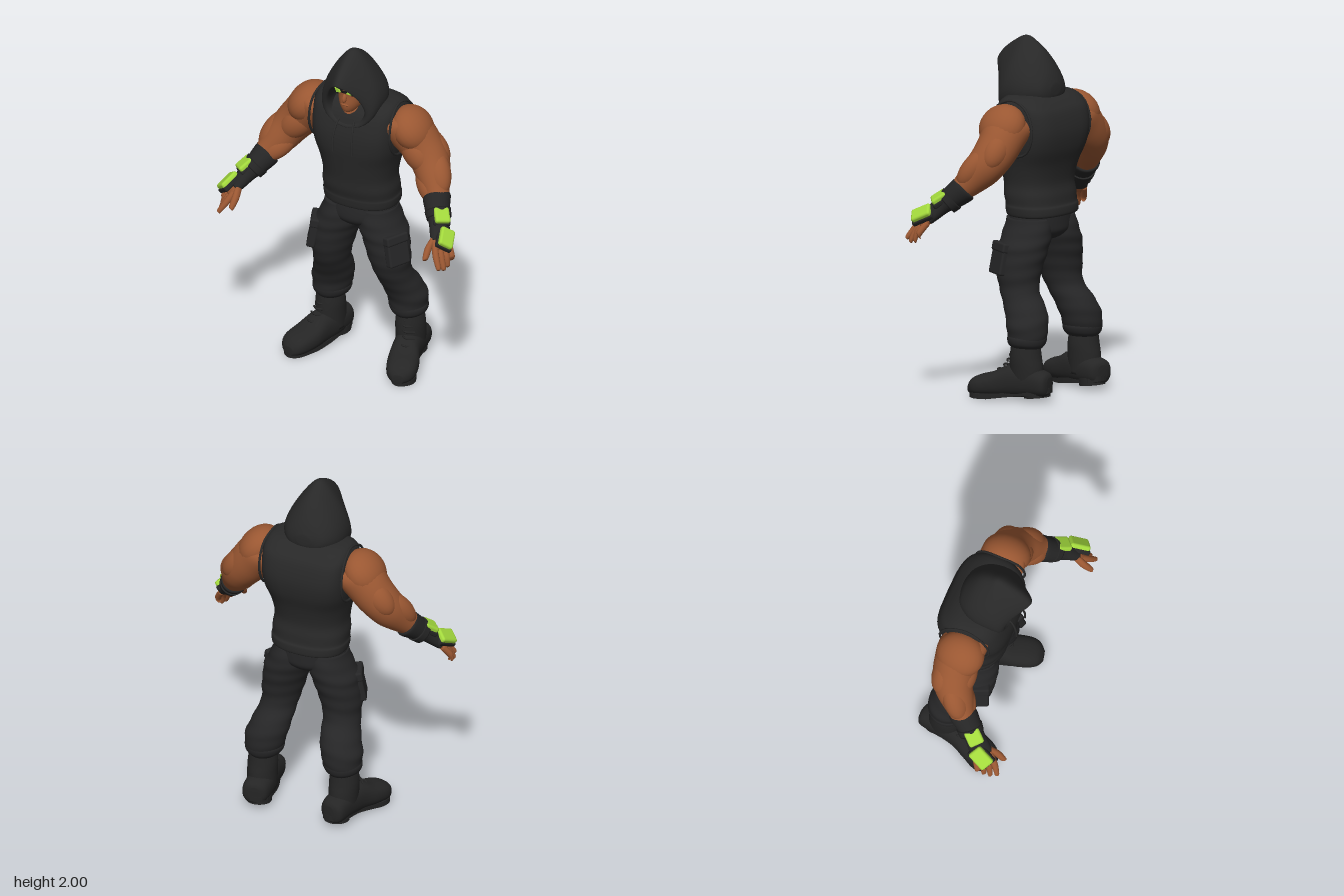
import * as THREE from 'three';
import { RoundedBoxGeometry } from 'three/addons/geometries/RoundedBoxGeometry.js';

const paint = (name, color) => Object.assign(new THREE.MeshStandardMaterial({ color }), { name });
const v3 = (a) => new THREE.Vector3(...a);

// Catmull-Rom through rows of numbers
function spline(rows, steps) {
  const out = [], last = rows.length - 1;
  for (let i = 0; i < last; i++) {
    const [p, q, r, s] = [rows[Math.max(i - 1, 0)], rows[i], rows[i + 1], rows[Math.min(i + 2, last)]];
    for (let k = 0; k < steps; k++) {
      const t = k / steps;
      out.push(q.map((b, j) => {
        const c1 = r[j] - p[j], c2 = 2 * p[j] - 5 * b + 4 * r[j] - s[j], c3 = 3 * (b - r[j]) + s[j] - p[j];
        return b + 0.5 * t * (c1 + t * (c2 + t * c3));
      }));
    }
  }
  out.push(rows[last]);
  return out;
}

// Closed skin over cross-sections; ring(row, angle) gives a Vector3
function skinOver(rows, ring, seg = 32, steps = 5) {
  const list = spline(rows, steps), pos = [], idx = [];
  for (const row of list) for (let j = 0; j < seg; j++) pos.push(...ring(row, (j / seg) * Math.PI * 2).toArray());
  for (let i = 0; i < list.length - 1; i++) for (let j = 0; j < seg; j++) {
    const a = i * seg + j, b = i * seg + (j + 1) % seg;
    idx.push(a, b, b + seg, a, b + seg, a + seg);
  }
  [0, list.length - 1].forEach((i, end) => {
    const mid = ring(list[i], 0).add(ring(list[i], Math.PI)).multiplyScalar(0.5), c = pos.length / 3;
    pos.push(...mid.toArray());
    for (let j = 0; j < seg; j++) {
      const a = i * seg + j, b = i * seg + (j + 1) % seg;
      idx.push(...(end ? [c, a, b] : [c, b, a]));
    }
  });
  const g = new THREE.BufferGeometry();
  g.setAttribute('position', new THREE.Float32BufferAttribute(pos, 3));
  g.setIndex(idx);
  g.computeVertexNormals();
  return g;
}

// Rows [x, y, z, ru, rv, power]; the rows advance along U x V
function loft(rows, U, V, wrinkle = 0) {
  return skinOver(rows, (r, a) => {
    const e = 2 / (r[5] || 2), c = Math.cos(a), s = Math.sin(a);
    const f = 1 + wrinkle * Math.sin(r[1] * 75 + 1.6 * Math.sin(a + 1));
    return new THREE.Vector3(r[0], r[1], r[2])
      .addScaledVector(U, Math.sign(c) * Math.abs(c) ** e * r[3] * f)
      .addScaledVector(V, Math.sign(s) * Math.abs(s) ** e * r[4] * f);
  });
}

function frame(dir, hint) {
  const D = v3(dir).normalize(), V = D.clone().cross(v3(hint)).normalize();
  return { D, V, U: V.clone().cross(D) };
}

const tube = (pts, r, closed = false) =>
  new THREE.TubeGeometry(new THREE.CatmullRomCurve3(pts.map(v3), closed), 28, r, 8, closed);

// Ellipsoid whose second radius lies along dir
function muscle(c, r, dir = [0, 1, 0]) {
  const q = new THREE.Quaternion().setFromUnitVectors(v3([0, 1, 0]), v3(dir).normalize());
  return new THREE.SphereGeometry(1, 24, 16).applyMatrix4(new THREE.Matrix4().compose(v3(c), q, v3(r)));
}

function mirrored(geo) {
  const g = geo.clone();
  g.scale(-1, 1, 1);
  const n = g.attributes.position.count;
  const idx = g.index ? Array.from(g.index.array) : Array.from({ length: n }, (_, i) => i);
  for (let i = 0; i < idx.length; i += 3) [idx[i], idx[i + 1]] = [idx[i + 1], idx[i]];
  g.setIndex(idx);
  return g;
}

export function createModel() {
  const model = new THREE.Group();
  const hoodie = paint('hoodie cloth', 0x282828), cloth = paint('trouser cloth', 0x262627);
  const leather = paint('boot leather', 0x252525), black = paint('goggle black', 0x161616);
  const skin = paint('skin', 0x9a5732), green = paint('bright green', 0xa2d83c);
  const add = (name, geo, mat) => {
    const m = new THREE.Mesh(geo, mat);
    m.name = name;
    model.add(m);
  };
  const pair = (name, geo, mat) => {
    add('left' + name, geo, mat);
    add('right' + name, mirrored(geo), mat);
  };
  const X = v3([1, 0, 0]), Z = v3([0, 0, 1]), back = v3([0, 0, -1]);

  // Sleeveless top: [y, half width, front z, back z, squareness]
  const torso = [[1.01, 0.205, 0.06, -0.235, 2.4], [1.02, 0.218, 0.074, -0.255, 2.4], [1.06, 0.223, 0.08, -0.255, 2.4],
    [1.08, 0.218, 0.08, -0.246, 2.4], [1.13, 0.22, 0.092, -0.242, 2.4], [1.2, 0.213, 0.097, -0.232, 2.4],
    [1.3, 0.228, 0.112, -0.25, 2.6], [1.4, 0.25, 0.126, -0.28, 3.2], [1.5, 0.256, 0.124, -0.288, 3.8],
    [1.6, 0.255, 0.1, -0.265, 4], [1.65, 0.25, 0.075, -0.225, 3.6], [1.68, 0.23, 0.05, -0.185, 3],
    [1.695, 0.18, 0.03, -0.15, 2.5], [1.7, 0.08, 0, -0.1, 2]];
  add('torso', loft(torso.map(([y, w, f, b, n]) => [0, y, (f + b) / 2, w, (f - b) / 2, n]), X, back), hoodie);
  pair('ArmholeTrim', tube([[0.24, 1.675, -0.07], [0.25, 1.63, 0.035], [0.254, 1.5, 0.07], [0.25, 1.39, 0.01],
    [0.248, 1.36, -0.08], [0.25, 1.39, -0.18], [0.254, 1.5, -0.225], [0.25, 1.63, -0.18]], 0.007, true), hoodie);
  pair('Drawstring', tube([[0.045, 1.6, 0.09], [0.053, 1.55, 0.13], [0.06, 1.48, 0.152], [0.06, 1.4, 0.155]], 0.006), hoodie);

  // Hood: [top y, top z, bottom y, bottom z, half width, taper, bow], lining to back
  const hood = [[1.82, 0.06, 1.61, 0.01, 0.1, 0.3, 0], [1.845, 0.2, 1.572, 0.1, 0.104, 0.35, 0.045],
    [1.868, 0.215, 1.55, 0.118, 0.122, 0.42, 0.045], [1.935, 0.15, 1.55, 0.1, 0.148, 0.48, 0.03],
    [2, 0.035, 1.56, 0.04, 0.161, 0.5, 0], [1.98, -0.03, 1.58, -0.05, 0.162, 0.48, 0],
    [1.925, -0.1, 1.61, -0.12, 0.143, 0.42, 0], [1.83, -0.16, 1.65, -0.175, 0.1, 0.3, 0], [1.75, -0.19, 1.69, -0.19, 0.04, 0, 0]];
  add('hood', skinOver(hood, ([ty, tz, by, bz, w, k, bow], a) => {
    const c = Math.cos(a), s = Math.sin(a);
    return new THREE.Vector3(-w * c * (1 - k * s), (ty + by) / 2 + s * (ty - by) / 2, (tz + bz) / 2 + s * (tz - bz) / 2 - bow * c * c);
  }, 40), hoodie);

  // Head and neck
  add('neck', loft([[0, 1.56, 0, 0.05, 0.09], [0, 1.61, 0, 0.085, 0.093], [0, 1.65, 0, 0.098, 0.085], [0, 1.69, -0.01, 0.078, 0.075],
    [0, 1.73, -0.01, 0.065, 0.07]], X, back), skin);
  add('head', loft([[0, 1.635, 0.035, 0.025, 0.06], [0, 1.65, 0.035, 0.045, 0.082],
    [0, 1.69, 0.03, 0.066, 0.098], [0, 1.75, 0.02, 0.078, 0.105], [0, 1.81, 0.02, 0.075, 0.105], [0, 1.87, 0, 0.05, 0.07]], X, back), skin);
  add('nose', muscle([0, 1.738, 0.126], [0.014, 0.028, 0.016], [0, 1, -0.3]), skin);
  add('mouth', muscle([0, 1.695, 0.126], [0.026, 0.006, 0.006]), skin);
  add('goggleStrap', loft([[0, 1.768, 0.02, 0.081, 0.108], [0, 1.795, 0.02, 0.081, 0.109]], X, back), black);
  pair('GoggleFrame', muscle([0.038, 1.782, 0.118], [0.036, 0.022, 0.016], [0.25, 1, 0]), black);
  const lens = new THREE.Shape([[-0.02, -0.006], [0.009, -0.013], [0.023, 0.013], [-0.01, 0.007]].map((p) => new THREE.Vector2(...p)));
  pair('Lens', new THREE.ExtrudeGeometry(lens, { depth: 0.008, bevelEnabled: false }).rotateY(0.25).translate(0.036, 1.783, 0.13), green);

  // Arms
  const arm = frame([0.6, -0.72, 0.2], [0.75, 0.65, 0]);
  pair('Arm', loft([[0.2, 1.56, -0.075, 0.1, 0.12], [0.27, 1.545, -0.075, 0.125, 0.14], [0.33, 1.49, -0.078, 0.125, 0.132],
    [0.385, 1.425, -0.08, 0.118, 0.12], [0.435, 1.365, -0.068, 0.11, 0.112], [0.48, 1.3, -0.035, 0.1, 0.103],
    [0.53, 1.225, 0.02, 0.075, 0.078], [0.575, 1.16, 0.08, 0.055, 0.06]], arm.U, arm.V), skin);
  pair('Deltoid', muscle([0.325, 1.54, -0.07], [0.105, 0.135, 0.138], [0.5, -0.6, 0]), skin);
  pair('Biceps', muscle([0.375, 1.415, -0.025], [0.085, 0.13, 0.075], [0.6, -0.65, 0.1]), skin);
  pair('Triceps', muscle([0.425, 1.43, -0.115], [0.08, 0.13, 0.075], [0.6, -0.65, 0]), skin);
  pair('ForearmOuter', muscle([0.502, 1.33, -0.025], [0.07, 0.14, 0.08], [0.45, -0.75, 0.45]), skin);
  pair('ForearmInner', muscle([0.465, 1.268, 0.012], [0.06, 0.12, 0.068], [0.5, -0.6, 0.5]), skin);

  // Fingerless gloves with pads
  const hand = frame([0.5, -0.67, 0.56], [0.6, 0.75, 0.3]);
  pair('Glove', loft([[0.528, 1.215, 0.03, 0.066, 0.068], [0.535, 1.205, 0.038, 0.077, 0.079], [0.565, 1.16, 0.085, 0.068, 0.07],
    [0.6, 1.115, 0.135, 0.052, 0.058], [0.63, 1.07, 0.175, 0.042, 0.061], [0.65, 1.04, 0.2, 0.034, 0.062]], hand.U, hand.V), leather);
  pair('CuffStrap', loft([[0.568, 1.155, 0.088, 0.073, 0.075], [0.59, 1.125, 0.113, 0.068, 0.07]], hand.U, hand.V), leather);
  pair('Palm', loft([[0.635, 1.06, 0.185, 0.035, 0.055], [0.655, 1.03, 0.21, 0.029, 0.058], [0.672, 1.0, 0.23, 0.018, 0.052]], hand.U, hand.V), skin);
  [['WristPad', [0.622, 1.163, 0.14], [0.5, -0.55, 0.65], [0.4, 0.9, 0.2], 0.095],
    ['KnucklePad', [0.69, 1.073, 0.212], [0.3, -0.42, 0.85], [0.65, 0.75, 0.1], 0.12]].forEach(([name, c, dir, normal, len]) => {
    const { D, U, V } = frame(dir, normal);
    const turn = new THREE.Matrix4().makeBasis(V, U, D.negate()).setPosition(...c);
    pair(name, new RoundedBoxGeometry(0.088, 0.036, len, 3, 0.014).applyMatrix4(turn), green);
    pair(name + 'Base', new RoundedBoxGeometry(0.1, 0.03, len + 0.012, 2, 0.01).translate(0, -0.022, 0).applyMatrix4(turn), leather);
  });
  // Fingers and thumbs
  const along = (p, s) => v3(p).addScaledVector(hand.V, s).toArray();
  const finger = ([a, b, c], r) => loft([[...a, r, r], [...b, r * 1.05, r * 1.05], [...c, r * 0.75, r * 0.75],
    [...v3(c).lerp(v3(b), -0.12).toArray(), r * 0.2, r * 0.2]], hand.U, hand.V);
  const tips = [[0.715, 0.94, 0.205], [0.712, 0.917, 0.24], [0.705, 0.912, 0.275], [0.692, 0.925, 0.31]];
  tips.forEach((tip, i) => {
    const s = -0.042 + 0.028 * i, mid = along([0.688, 0.972, 0.242], s * 1.15);
    pair('Finger' + (i + 1), finger([along([0.655, 1.03, 0.205], s), mid, tip], 0.0175), skin);
  });
  pair('Thumb', finger([[0.62, 1.07, 0.2], [0.608, 1.02, 0.265], [0.612, 0.97, 0.315]], 0.022), skin);

  // Trousers
  add('pelvis', loft([[0, 1.06, -0.085, 0.2, 0.14], [0, 0.97, -0.08, 0.214, 0.147], [0, 0.92, -0.08, 0.19, 0.143],
    [0, 0.885, -0.08, 0.12, 0.11], [0, 0.865, -0.08, 0.05, 0.06]], X, Z), cloth);
  pair('Leg', loft([[0.11, 1, -0.08, 0.1, 0.13], [0.118, 0.92, -0.08, 0.121, 0.147], [0.14, 0.855, -0.077, 0.134, 0.147],
    [0.156, 0.8, -0.075, 0.128, 0.143], [0.178, 0.7, -0.07, 0.119, 0.13], [0.191, 0.6, -0.085, 0.104, 0.115], [0.212, 0.5, -0.145, 0.112, 0.123],
    [0.233, 0.42, -0.175, 0.119, 0.117], [0.24, 0.36, -0.18, 0.109, 0.111], [0.242, 0.325, -0.18, 0.1, 0.105],
    [0.243, 0.3, -0.18, 0.075, 0.09]], X, Z, 0.016), cloth);
  pair('CuffFold', loft([[0.238, 0.385, -0.18, 0.095, 0.09], [0.24, 0.355, -0.18, 0.112, 0.11], [0.243, 0.32, -0.18, 0.104, 0.106],
    [0.243, 0.298, -0.18, 0.08, 0.092]], X, Z), cloth);
  const pocket = (w, h, d, y) => new RoundedBoxGeometry(w, h, d, 2, 0.012).translate(0, y, 0).rotateZ(0.2).rotateY(-0.42).translate(0.26, 0.778, -0.002);
  pair('CargoPocket', pocket(0.05, 0.18, 0.14, 0), cloth);
  pair('PocketFlap', pocket(0.062, 0.055, 0.148, 0.065), cloth);

  // Boots
  const foot = frame([0.22, 0, 0.97], [1, 0, 0]);
  pair('BootShaft', loft([[0.252, 0.33, -0.18, 0.07, 0.085], [0.252, 0.25, -0.18, 0.082, 0.093], [0.252, 0.18, -0.185, 0.082, 0.1],
    [0.25, 0.08, -0.19, 0.078, 0.1]], X, Z), leather);
  pair('BootFoot', loft([[0.232, 0.1, -0.335, 0.03, 0.04, 2.4], [0.238, 0.1, -0.31, 0.072, 0.07, 2.4], [0.25, 0.105, -0.2, 0.08, 0.085, 2.4],
    [0.275, 0.102, -0.09, 0.08, 0.092, 2.3], [0.305, 0.08, 0, 0.09, 0.07, 2.4], [0.33, 0.067, 0.075, 0.086, 0.06, 2.4],
    [0.34, 0.058, 0.12, 0.066, 0.046, 2.4], [0.345, 0.045, 0.146, 0.03, 0.025, 2.4]], foot.U, foot.V), leather);
  const outline = [[0.17, -0.28], [0.2, -0.33], [0.27, -0.335], [0.31, -0.27], [0.322, -0.15], [0.36, -0.05], [0.404, 0.04],
    [0.396, 0.1], [0.345, 0.14], [0.29, 0.115], [0.248, 0.03], [0.202, -0.1]].map((p) => new THREE.Vector2(...p));
  const plan = new THREE.SplineCurve([...outline, outline[0]]).getPoints(48).slice(0, -1);
  const sole = new THREE.ExtrudeGeometry(new THREE.Shape(plan), { depth: 0.03, bevelEnabled: false })
    .rotateX(Math.PI / 2).translate(0, 0.03, 0);
  const p = sole.attributes.position;
  for (let i = 0; i < p.count; i++) p.setY(i, p.getY(i) + Math.max(0, -p.getZ(i)) * 0.16);
  sole.computeVertexNormals();
  pair('Sole', sole, leather);
  pair('Heel', new THREE.CylinderGeometry(0.072, 0.07, 0.045, 24).scale(1, 1, 1.1).rotateX(0.12).translate(0.24, 0.045, -0.25), leather);
  // Bootlaces
  for (let i = 0; i < 5; i++) {
    const t = i / 4, y = 0.165 + 0.115 * t, z = -0.02 - 0.075 * Math.sqrt(t), x = 0.295 - 0.035 * t;
    pair('Lace' + (i + 1), tube([[x - 0.04, y - 0.01, z - 0.035], [x, y, z], [x + 0.04, y - 0.01, z - 0.035]], 0.006), leather);
  }
  return model;
}
